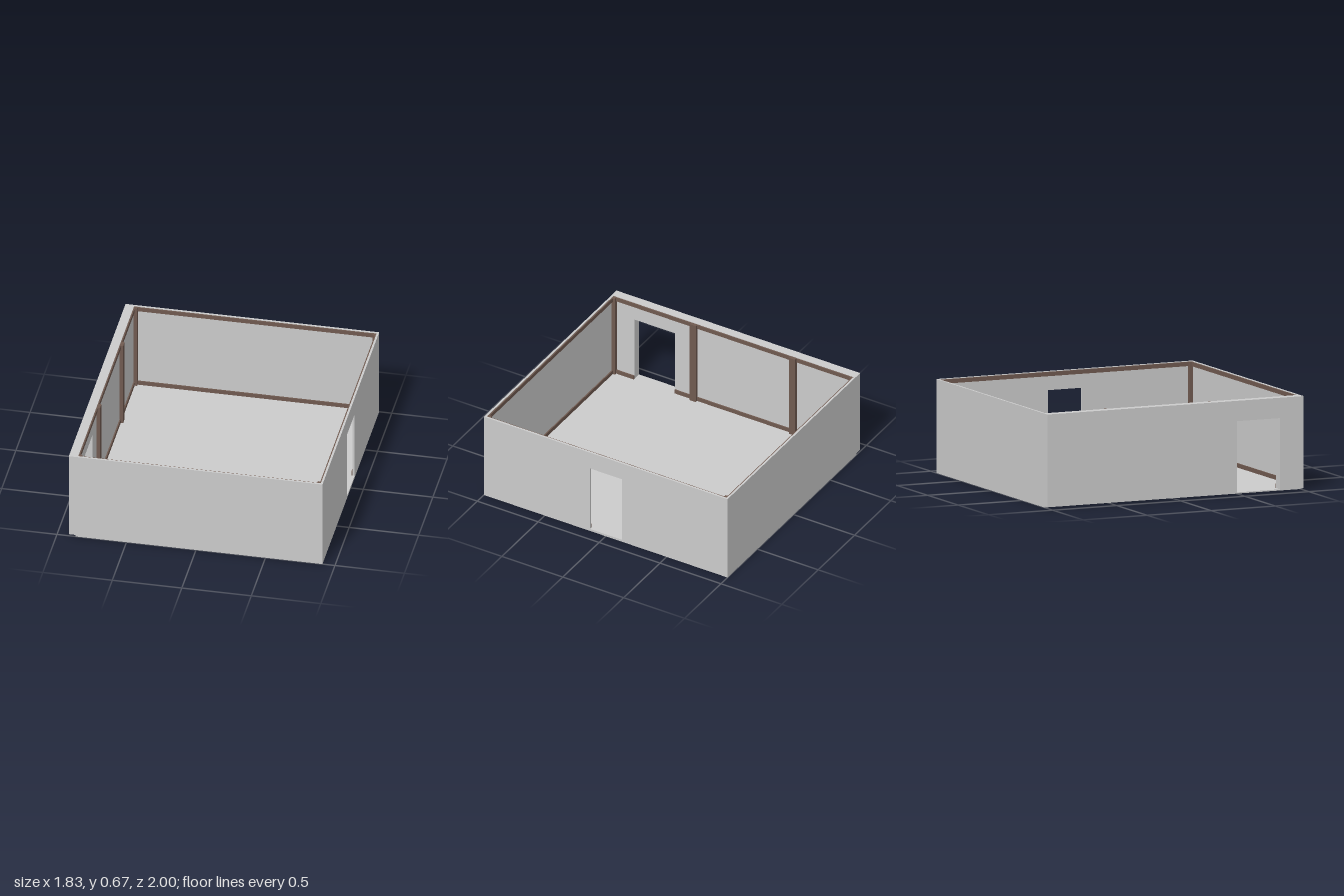
import * as THREE from 'three';

const grey = new THREE.MeshStandardMaterial({ color: 0xcccccc, flatShading: true });
const brown = new THREE.MeshStandardMaterial({ color: 0x705a50, flatShading: true });

const FLOOR = 0.017, TOP = 0.67;            // floor surface and wall top
const X0 = -0.85, X1 = 0.895, Z = 0.985;    // inner faces of the walls

export function createModel() {
  const room = new THREE.Group();
  room.name = 'room';

  // Box given by its lower and upper corners
  function box(name, material, [x0, y0, z0], [x1, y1, z1]) {
    const geometry = new THREE.BoxGeometry(x1 - x0, y1 - y0, z1 - z0);
    geometry.translate((x0 + x1) / 2, (y0 + y1) / 2, (z0 + z1) / 2);
    const mesh = new THREE.Mesh(geometry, material);
    mesh.name = name;
    room.add(mesh);
  }

  // Side wall with a doorway notched out from its base
  function sideWall(name, xMin, xMax, doorStart, doorEnd, doorTop) {
    const shape = new THREE.Shape([
      [-1, FLOOR], [doorStart, FLOOR], [doorStart, doorTop], [doorEnd, doorTop],
      [doorEnd, FLOOR], [1, FLOOR], [1, TOP], [-1, TOP],
    ].map(([z, y]) => new THREE.Vector2(z, y)));
    const geometry = new THREE.ExtrudeGeometry(shape, { depth: xMax - xMin, bevelEnabled: false });
    geometry.rotateY(-Math.PI / 2);
    geometry.translate(xMax, 0, 0);
    const mesh = new THREE.Mesh(geometry, grey);
    mesh.name = name;
    room.add(mesh);
  }

  // Floor and the threshold under the thick wall
  box('floor', grey, [-0.865, 0, -1], [0.91, FLOOR, 1]);
  box('threshold', grey, [-0.915, 0.013, -1], [-0.865, FLOOR, 1]);

  // Walls
  sideWall('rightWall', X1, 0.91, -0.135, 0.13, 0.535);
  sideWall('leftWall', -0.915, X0, 0.48, 0.815, 0.525);
  box('frontWall', grey, [X0, FLOOR, Z], [X1, TOP, 1]);
  box('backWall', grey, [X0, FLOOR, -1], [X1, TOP, -Z]);

  // Timber rails along the walls, the lower ones broken at the doorways
  const t = 0.009, h = 0.03;
  const low = [FLOOR, FLOOR + h], high = [TOP - h - 0.004, TOP - 0.004];
  for (const [level, [y0, y1]] of [['bottom', low], ['top', high]]) {
    box(level + 'RailFront', brown, [X0, y0, Z - t], [X1, y1, Z]);
    box(level + 'RailBack', brown, [X0, y0, -Z], [X1, y1, -Z + t]);
    const full = [[-Z, Z]];
    const rightRuns = level === 'top' ? full : [[-Z, -0.135], [0.13, Z]];
    const leftRuns = level === 'top' ? full : [[-Z, 0.48], [0.815, Z]];
    for (const [a, b] of rightRuns) box(level + 'RailRight', brown, [X1 - t, y0, a], [X1, y1, b]);
    for (const [a, b] of leftRuns) box(level + 'RailLeft', brown, [X0, y0, a], [X0 + t, y1, b]);
  }

  // Corner posts
  const p = 0.026, postTop = TOP - 0.003;
  for (const x of [X0, X1 - p]) {
    for (const z of [-Z, Z - p]) box('cornerPost', brown, [x, FLOOR, z], [x + p, postTop, z + p]);
  }

  // Posts standing against the thick wall
  for (const z of [-0.495, 0.32]) {
    box('wallPost', brown, [X0, FLOOR, z - 0.025], [X0 + p, postTop, z + 0.025]);
  }
  return room;
}
